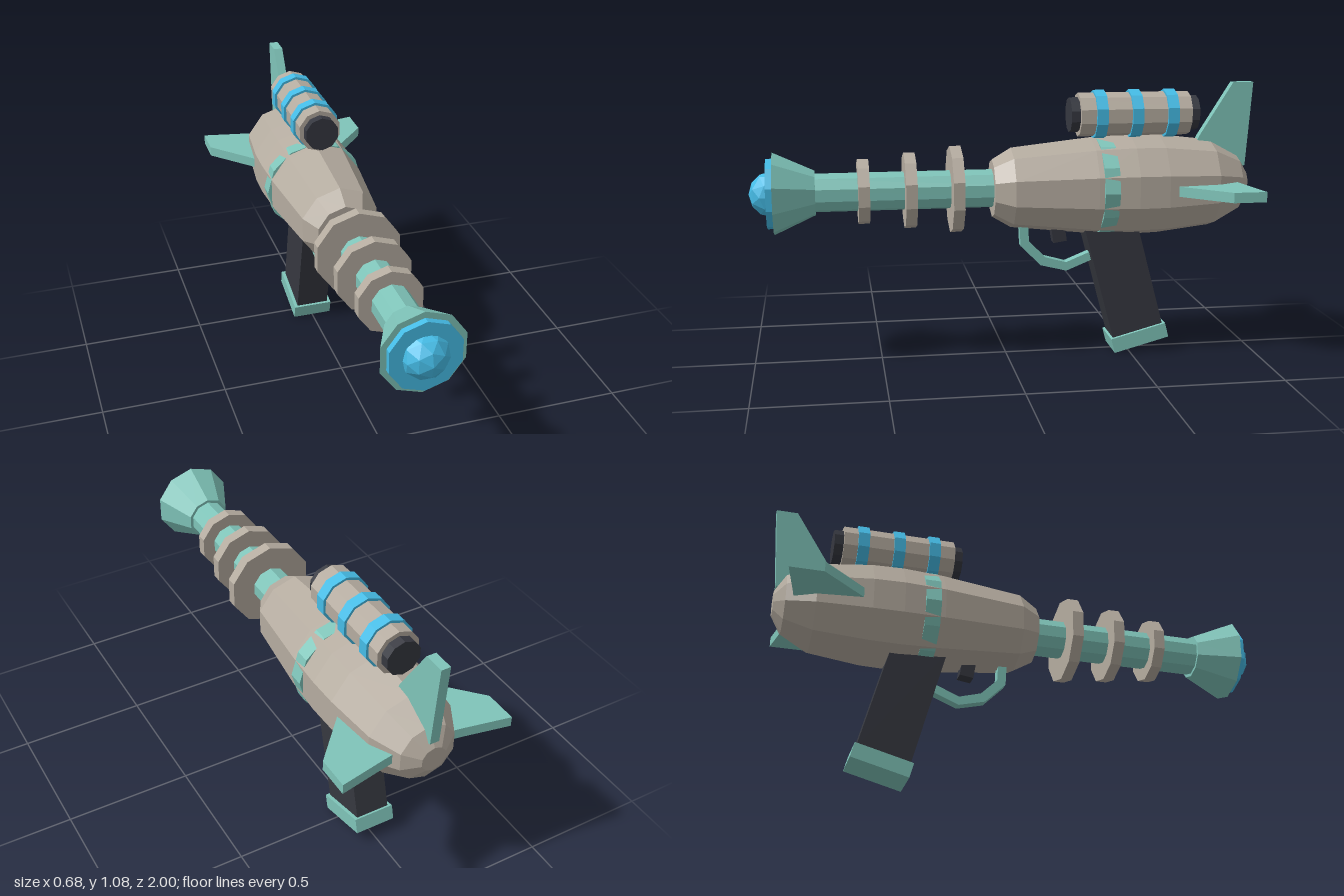
import * as THREE from 'three';

const material = (color) => new THREE.MeshStandardMaterial({ color, flatShading: true });
const AXIS_Y = 0.68, SCOPE_Y = 0.965;

export function createModel() {
  const model = new THREE.Group();
  const shell = material(0xb5aca0), teal = material(0x7fc4b9);
  const blue = material(0x45bce6), dark = material(0x363840);

  function add(name, geometry, mat, y = 0, z = 0, parent = model) {
    const mesh = new THREE.Mesh(geometry, mat);
    mesh.name = name;
    mesh.position.set(0, y, z);
    parent.add(mesh);
    return mesh;
  }

  // Faceted tube along z, from back to front
  function barrelPart(name, mat, y, zBack, zFront, rBack, rFront = rBack, sides = 10) {
    const g = new THREE.CylinderGeometry(rFront, rBack, zFront - zBack, sides);
    g.rotateX(Math.PI / 2);
    return add(name, g, mat, y, (zBack + zFront) / 2);
  }

  // Flat plate with an outline of [a, b] pairs, centred on its thickness
  function plate(points, thickness) {
    const shape = new THREE.Shape(points.map(([a, b]) => new THREE.Vector2(a, b)));
    const g = new THREE.ExtrudeGeometry(shape, { depth: thickness, bevelEnabled: false });
    return g.translate(0, 0, -thickness / 2);
  }
  const uprightPlate = (points, t) => plate(points, t).rotateY(-Math.PI / 2); // [z, y]
  const levelPlate = (points, t) => // [x, z]
    plate(points.map(([x, z]) => [x, -z]), t).rotateX(-Math.PI / 2);

  // Body: [radius, z] from tail to front
  const profile = [
    [0, -0.98], [0.05, -0.98], [0.115, -0.94], [0.175, -0.83], [0.2, -0.62],
    [0.203, -0.5], [0.195, -0.34], [0.16, -0.02], [0.115, 0.055], [0, 0.055],
  ].map(([r, z]) => new THREE.Vector2(r, z));
  add('body', new THREE.LatheGeometry(profile, 10).rotateX(Math.PI / 2), shell, AXIS_Y);
  barrelPart('bodyBand', teal, AXIS_Y, -0.42, -0.36, 0.203, 0.203, 12).scale.y = 0.96;

  // Barrel with three discs shrinking toward the muzzle
  barrelPart('barrel', teal, AXIS_Y, 0, 0.76, 0.076);
  [[0.2, 0.172], [0.38, 0.15], [0.56, 0.128]].forEach(([z, r]) =>
    barrelPart('barrelDisc', shell, AXIS_Y, z - 0.022, z + 0.022, r));

  // Muzzle
  barrelPart('muzzleCone', teal, AXIS_Y, 0.745, 0.905, 0.088, 0.162);
  barrelPart('muzzleDisc', blue, AXIS_Y, 0.895, 0.93, 0.138);
  add('muzzleOrb', new THREE.IcosahedronGeometry(0.09, 1), blue, AXIS_Y, 0.908);

  // Scope
  barrelPart('scopeCore', dark, SCOPE_Y, -0.768, -0.252, 0.069);
  barrelPart('scopeTube', shell, SCOPE_Y, -0.732, -0.287, 0.087);
  [-0.37, -0.512, -0.655].forEach((z) =>
    barrelPart('scopeRing', blue, SCOPE_Y, z - 0.022, z + 0.022, 0.097));

  // Tail fins
  add('topFin', uprightPlate(
    [[-0.76, 0.82], [-0.78, 0.87], [-0.915, 1.085], [-0.998, 1.085], [-0.975, 0.75], [-0.9, 0.72]],
    0.037), teal);
  for (const side of [1, -1]) {
    const outline = [[0.1, -0.59], [0.185, -0.655], [0.342, -0.825], [0.342, -0.955], [0.165, -0.92], [0.08, -0.905]];
    add(side > 0 ? 'leftFin' : 'rightFin',
      levelPlate(outline.map(([x, z]) => [x * side, z]), 0.04), teal, AXIS_Y);
  }

  // Slanted grip with its foot
  const handle = new THREE.Group();
  handle.name = 'handle';
  handle.position.set(0, 0.03, -0.548);
  handle.rotation.x = THREE.MathUtils.degToRad(15);
  model.add(handle);
  add('grip', new THREE.BoxGeometry(0.136, 0.5, 0.21), dark, 0.3, 0, handle);
  add('gripFoot', new THREE.BoxGeometry(0.164, 0.06, 0.23), teal, 0.03, 0, handle);

  // Trigger and guard
  add('triggerGuard', uprightPlate([
    [-0.052, 0.56], [-0.058, 0.445], [-0.14, 0.363], [-0.245, 0.337], [-0.37, 0.388],
    [-0.37, 0.424], [-0.243, 0.372], [-0.157, 0.396], [-0.092, 0.46], [-0.087, 0.56],
  ], 0.04), teal);
  add('trigger', new THREE.BoxGeometry(0.053, 0.07, 0.055), dark, 0.493, -0.212).rotation.x = 0.15;

  return model;
}
